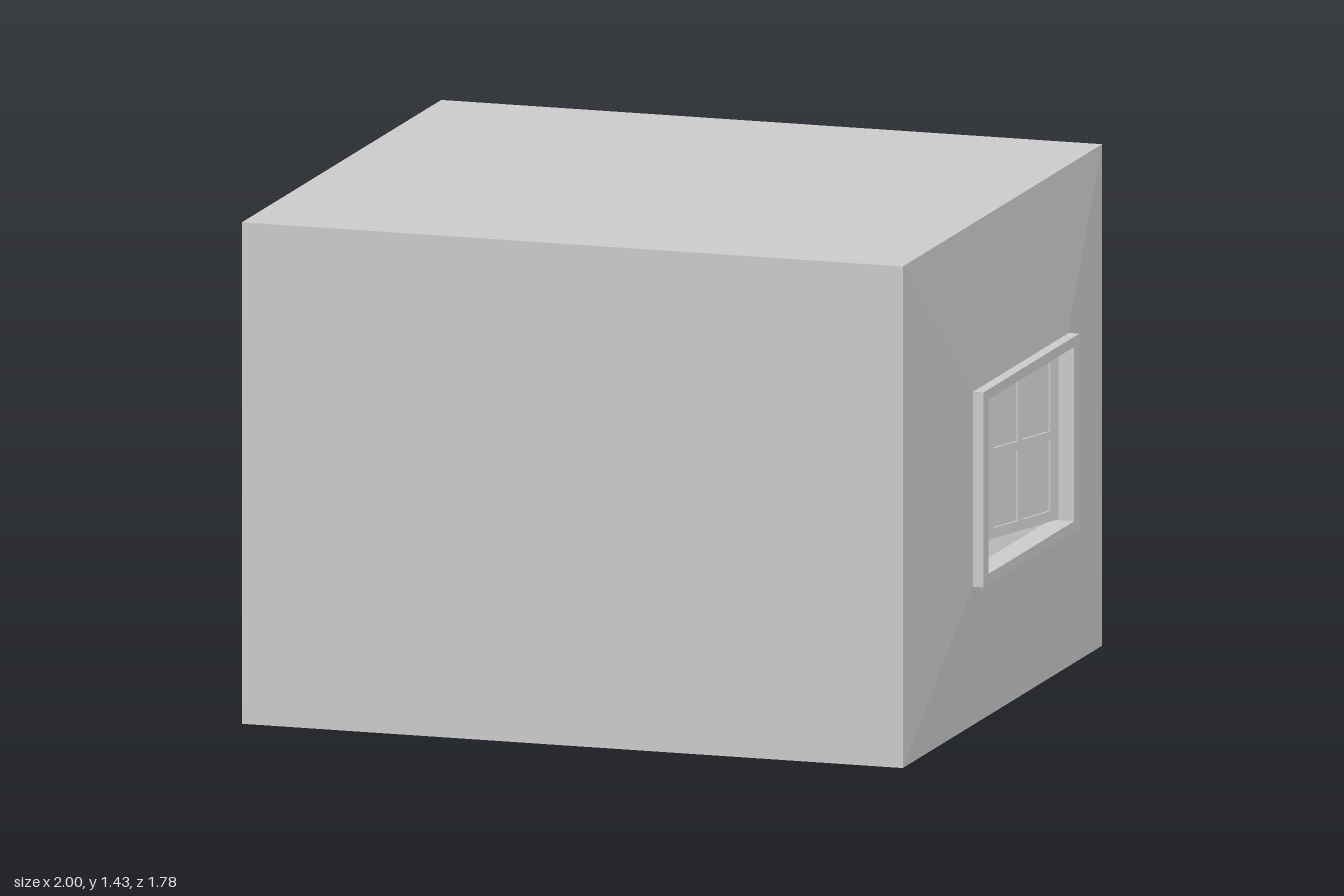
import * as THREE from 'three';

const material = new THREE.MeshStandardMaterial({ color: 0xcccccc, flatShading: true });
const shellMaterial = new THREE.MeshStandardMaterial({ color: 0xcccccc, flatShading: true, side: THREE.DoubleSide });

function named(name, geometry, mat = material) {
  const mesh = new THREE.Mesh(geometry, mat);
  mesh.name = name;
  return mesh;
}

// Counter-clockwise rectangle, as a shape or as a hole
function rect(Type, x0, y0, x1, y1) {
  return new Type([[x0, y0], [x1, y0], [x1, y1], [x0, y1]].map(([x, y]) => new THREE.Vector2(x, y)));
}

// Rectangular ring across the room at a given x
function ring(x, y0, y1, z0, z1) {
  return [[x, y0, z1], [x, y0, z0], [x, y1, z0], [x, y1, z1]];
}

// Hollow room: far wall, four sides, and a window wall that swells slightly to its opening
function roomGeometry() {
  const rings = [
    ring(-1, 0, 1.435, -0.89, 0.89),
    ring(0.95, 0, 1.435, -0.89, 0.89),
    ring(0.97, 0.43, 0.945, -0.51, 0.295),
  ];
  const positions = [];
  const quad = (a, b, c, d) => positions.push(...a, ...b, ...c, ...a, ...c, ...d);
  const [p, q, r, s] = rings[0];
  quad(s, r, q, p);
  for (let i = 0; i < rings.length - 1; i++) {
    for (let k = 0; k < 4; k++) {
      const n = (k + 1) % 4;
      quad(rings[i][k], rings[i][n], rings[i + 1][n], rings[i + 1][k]);
    }
  }
  const geometry = new THREE.BufferGeometry();
  geometry.setAttribute('position', new THREE.Float32BufferAttribute(positions, 3));
  geometry.computeVertexNormals();
  return geometry;
}

// Casement sash hinged at its local origin; dir is the side it extends to
function createSash(name, dir, hingeZ, angle) {
  const sash = new THREE.Group();
  sash.name = name;
  const y0 = 0.442, y1 = 0.933, width = 0.38, depth = 0.02;
  const span = (Type, u0, v0, u1, v1) =>
    rect(Type, Math.min(dir * u0, dir * u1), v0, Math.max(dir * u0, dir * u1), v1);

  // Stiles, rails and glazing bars around four panes
  const shape = span(THREE.Shape, 0, y0, width, y1);
  for (const [u0, u1] of [[0.04, 0.178], [0.2, 0.322]]) {
    for (const [v0, v1] of [[0.472, 0.675], [0.7, 0.903]]) {
      shape.holes.push(span(THREE.Path, u0, v0, u1, v1));
    }
  }
  const bars = new THREE.ExtrudeGeometry(shape, { depth, bevelEnabled: false });
  bars.translate(0, 0, -depth);
  sash.add(named('sashFrame', bars));

  // Recessed panel filling the panes
  const pane = new THREE.BoxGeometry(width - 0.04, y1 - y0 - 0.04, 0.006);
  pane.translate(dir * width / 2, (y0 + y1) / 2, -depth / 2);
  sash.add(named('panes', pane));

  sash.position.set(0.955, 0, hingeZ);
  sash.rotation.y = Math.PI / 2 + dir * angle;
  return sash;
}

export function createModel() {
  const model = new THREE.Group();
  model.name = 'roomWithWindow';
  model.add(named('roomShell', roomGeometry(), shellMaterial));

  // Window surround, drawn facing +z and turned to face +x
  const surround = rect(THREE.Shape, -0.32, 0.408, 0.535, 0.966);
  surround.holes.push(rect(THREE.Path, -0.275, 0.438, 0.49, 0.937));
  const frame = named('windowFrame', new THREE.ExtrudeGeometry(surround, { depth: 0.07, bevelEnabled: false }));
  frame.rotation.y = Math.PI / 2;
  frame.position.x = 0.93;
  model.add(frame);

  // Two casements opened into the room by different amounts
  model.add(createSash('frontSash', 1, 0.255, THREE.MathUtils.degToRad(52)));
  model.add(createSash('backSash', -1, -0.485, THREE.MathUtils.degToRad(16)));
  return model;
}
